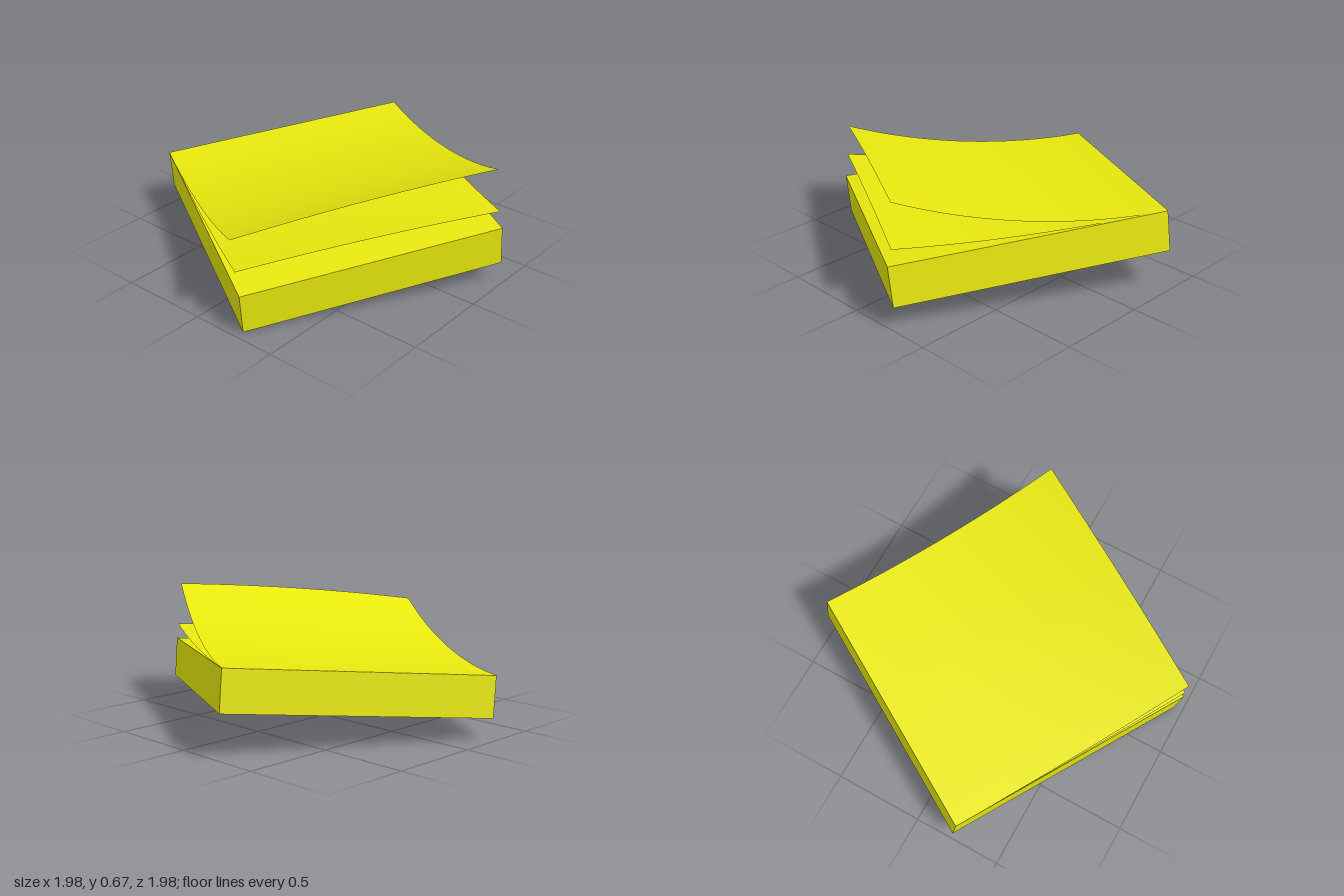
import * as THREE from 'three';

const W = 1.46, D = 1.42, H = 0.222; // pad size: x from glued edge to loose edge

// A sheet glued along -x whose loose +x edge curls upward.
// liftFront / liftBack: height of the loose corners, bow: extra height mid-edge, pull: shortening of the sheet
function sheetGeometry({ liftFront, liftBack, bow, pull, power, gap }) {
  const geo = new THREE.PlaneGeometry(W, D, 32, 16).rotateX(-Math.PI / 2);
  const { position, uv } = geo.attributes;
  for (let i = 0; i < position.count; i++) {
    const s = uv.getX(i); // 0 at the glued edge, 1 at the loose edge
    const t = uv.getY(i); // 0 at the front, 1 at the back
    const lift = THREE.MathUtils.lerp(liftFront, liftBack, t) + bow * 4 * t * (1 - t);
    position.setX(i, position.getX(i) - pull * s ** 3);
    position.setY(i, H / 2 + gap + lift * s ** power);
  }
  geo.computeVertexNormals();
  return geo;
}

export function createModel() {
  const pad = new THREE.Group();
  pad.name = 'notePad';
  const paper = new THREE.MeshStandardMaterial({ color: 0xe8e80e });
  const sheetPaper = new THREE.MeshStandardMaterial({ color: 0xe8e80e, side: THREE.DoubleSide });

  const add = (name, geometry, material) => {
    const mesh = new THREE.Mesh(geometry, material);
    mesh.name = name;
    pad.add(mesh);
  };

  // Solid stack of notes
  add('noteStack', new THREE.BoxGeometry(W, H, D), paper);

  // Two loose sheets on top
  add('lowerSheet', sheetGeometry({
    liftFront: 0.13, liftBack: 0.085, bow: 0.015, pull: 0.03, power: 2.2, gap: 0.001,
  }), sheetPaper);
  add('topSheet', sheetGeometry({
    liftFront: 0.3, liftBack: 0.325, bow: 0.018, pull: 0.06, power: 1.9, gap: 0.002,
  }), sheetPaper);

  // Turn and tip the whole pad
  const x = new THREE.Vector3(1.263, -0.118, 0.725).normalize();
  const back = new THREE.Vector3(0.713, 0.118, -1.222);
  const y = new THREE.Vector3().crossVectors(x, back).normalize();
  const z = new THREE.Vector3().crossVectors(x, y);
  pad.quaternion.setFromRotationMatrix(new THREE.Matrix4().makeBasis(x, y, z));
  pad.position.set(0, 0.229, -0.012);

  const root = new THREE.Group();
  root.name = 'tiltedNotePad';
  root.add(pad);
  return root;
}
